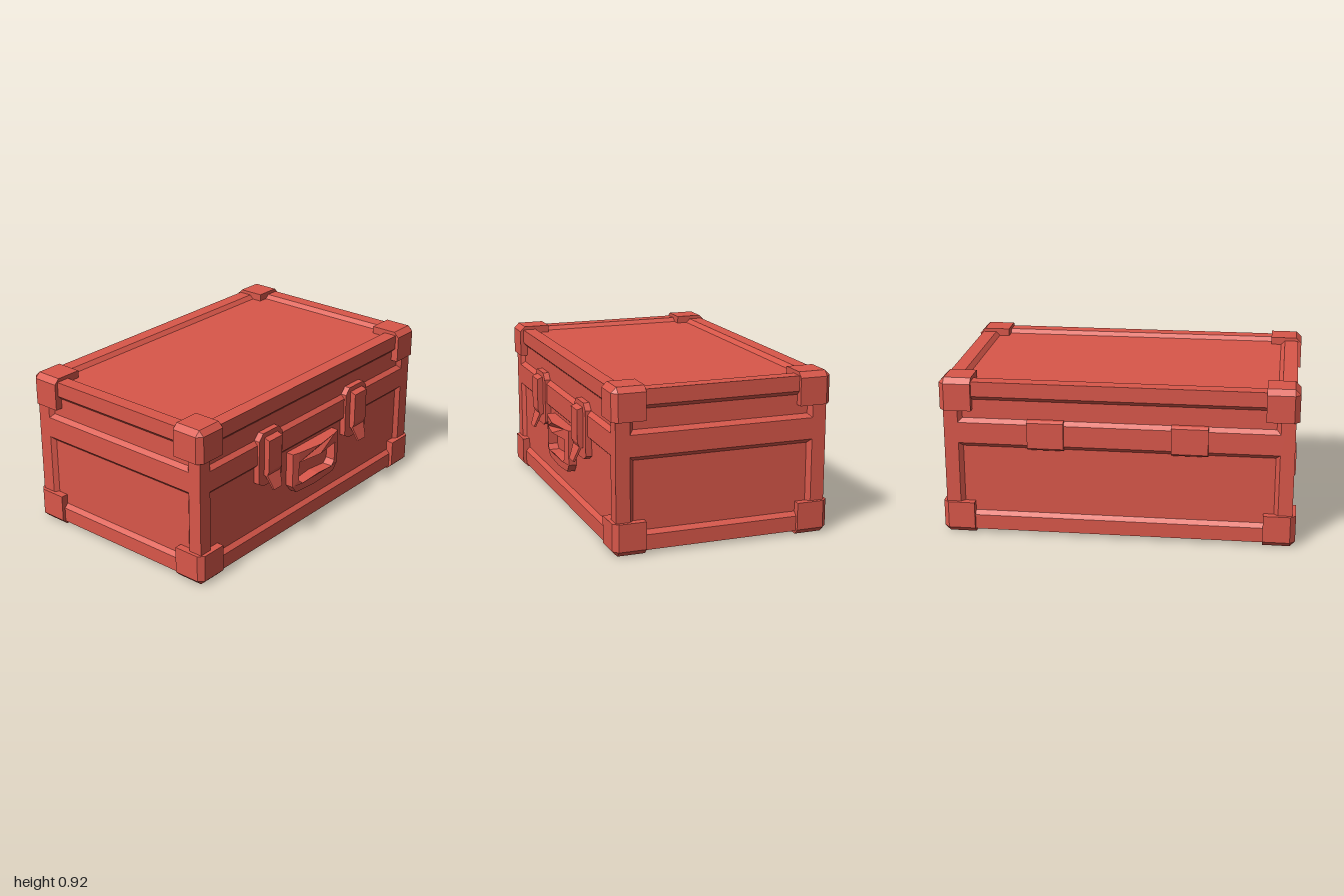
import * as THREE from 'three';
import { ConvexGeometry } from 'three/addons/geometries/ConvexGeometry.js';

const red = new THREE.MeshStandardMaterial({ color: 0xd9574a });
red.name = 'case red';

const BEVEL = 0.023;
const HALF = { x: 0.98, y: 0.44, z: 0.6075 }; // half size of the body
const CENTRE = { y: 0.465, z: -0.0225 };

function mesh(name, geometry) {
  const m = new THREE.Mesh(geometry, red);
  m.name = name;
  return m;
}

function shapeOf(points) {
  return new THREE.Shape(points.map(([x, y]) => new THREE.Vector2(x, y)));
}

// Flat wall facing +z with bevelled, sunken panels given as [x0, x1, y0, y1]
function wall(name, hw, hh, panels) {
  const pos = [];
  const rect = (x0, x1, y0, y1) => [[x0, y0], [x1, y0], [x1, y1], [x0, y1]];
  const quad = (a, b, c, d) => pos.push(...a, ...b, ...c, ...a, ...c, ...d);
  const group = new THREE.Group();
  group.name = name;
  const frame = shapeOf(rect(-hw, hw, -hh, hh));
  for (const [x0, x1, y0, y1] of panels) {
    const rim = rect(x0, x1, y0, y1);
    frame.holes.push(new THREE.Path(rim.map(([x, y]) => new THREE.Vector2(x, y))));
    const outer = rim.map(([x, y]) => [x, y, 0]);
    const inner = rect(x0 + BEVEL, x1 - BEVEL, y0 + BEVEL, y1 - BEVEL).map(([x, y]) => [x, y, -BEVEL]);
    for (let i = 0; i < 4; i++) {
      const j = (i + 1) % 4;
      quad(outer[i], outer[j], inner[j], inner[i]);
    }
    quad(...inner);
  }
  const sunken = new THREE.BufferGeometry();
  sunken.setAttribute('position', new THREE.Float32BufferAttribute(pos, 3));
  sunken.computeVertexNormals();
  group.add(mesh(name + 'Frame', new THREE.ShapeGeometry(frame)), mesh(name + 'Panels', sunken));
  return group;
}

// Corner guard: block with its three outer edges chamfered
function cornerGuard(sx, sy, sz) {
  const c = 0.03;
  const size = [0.182, 0.185, 0.185];
  const outer = [1, 0.46, 0.6275];
  const sign = [sx, sy, sz];
  const pts = [];
  // per axis: 0 = inner side, 1 = chamfer line, 2 = outer side
  for (const k of ['000', '200', '020', '002', '210', '120', '201', '102', '021', '012', '211', '121', '112']) {
    const p = [...k].map((d, i) => sign[i] * (outer[i] - [size[i], c, 0][+d]));
    pts.push(new THREE.Vector3(p[0], p[1] + CENTRE.y - 0, p[2] + CENTRE.z));
  }
  return mesh('cornerGuard', new ConvexGeometry(pts));
}

// Profile of [z, y] points drawn out along x, centred on x = 0
function alongX(points, width) {
  const g = new THREE.ExtrudeGeometry(shapeOf(points), { depth: width, bevelEnabled: false });
  g.translate(0, 0, -width / 2);
  g.rotateY(-Math.PI / 2);
  return g;
}

function latch() {
  const group = new THREE.Group();
  group.name = 'latch';
  const plate = new THREE.ExtrudeGeometry(
    shapeOf([[-0.06, 0.405], [0.06, 0.405], [0.102, 0.43], [0.102, 0.69], [0.068, 0.728], [-0.068, 0.728], [-0.102, 0.69], [-0.102, 0.43]]),
    { depth: 0.036, bevelEnabled: false });
  plate.translate(0, 0, 0.561);
  group.add(mesh('latchPlate', plate));

  // lever with a flared tail that narrows towards its tip
  const lever = alongX([[0.59, 0.47], [0.607, 0.47], [0.641, 0.385], [0.652, 0.39], [0.62, 0.475], [0.631, 0.5],
    [0.631, 0.688], [0.597, 0.7], [0.59, 0.7]], 0.114);
  const p = lever.attributes.position;
  for (let i = 0; i < p.count; i++) if (p.getY(i) < 0.4) p.setX(i, p.getX(i) * 0.62);
  lever.computeVertexNormals();
  group.add(mesh('latchLever', lever));
  return group;
}

// Handle: framed opening whose front bows out at the middle and slopes back at the foot
function handle() {
  const shape = shapeOf([[-0.215, 0.505], [-0.215, 0.3], [-0.178, 0.253], [0, 0.24], [0.178, 0.253],
    [0.215, 0.3], [0.215, 0.505], [0.17, 0.505], [0, 0.505], [-0.17, 0.505]]);
  shape.holes.push(new THREE.Path([[-0.17, 0.444], [0, 0.444], [0.17, 0.444], [0.17, 0.33], [0.14, 0.302],
    [0, 0.316], [-0.14, 0.302], [-0.17, 0.33]].map(([x, y]) => new THREE.Vector2(x, y))));
  const g = new THREE.ExtrudeGeometry(shape, { depth: 1, bevelEnabled: false });
  const p = g.attributes.position;
  for (let i = 0; i < p.count; i++) {
    const x = Math.abs(p.getX(i)), y = p.getY(i);
    let z = x < 0.17 ? 0.645 - 0.15 * x : 0.62 - 0.25 * (x - 0.17);
    if (y < 0.32) z = Math.min(z, 0.631);
    if (y < 0.27) z = 0.607;
    p.setZ(i, p.getZ(i) > 0.5 ? z : 0.56);
  }
  g.computeVertexNormals();
  return mesh('handle', g);
}

export function createModel() {
  const model = new THREE.Group();
  model.name = 'travelCase';

  // body: four walls with a base panel and a lid panel, plus top and bottom
  const body = new THREE.Group();
  body.name = 'body';
  body.position.set(0, CENTRE.y, CENTRE.z);
  const px = 0.9, pz = 0.5275;
  const sidePanels = (h) => [[-h, h, -0.355, 0.08], [-h, h, 0.2, 0.355]];
  for (const [name, s, angle] of [['front', 1, 0], ['back', -1, Math.PI]]) {
    const w = wall(name + 'Wall', HALF.x, HALF.y, sidePanels(px));
    w.rotation.y = angle;
    w.position.z = s * HALF.z;
    body.add(w);
  }
  for (const [name, s] of [['left', 1], ['right', -1]]) {
    const w = wall(name + 'Wall', HALF.z, HALF.y, sidePanels(pz));
    w.rotation.y = s * Math.PI / 2;
    w.position.x = s * HALF.x;
    body.add(w);
  }
  for (const [name, s] of [['lidTop', 1], ['base', -1]]) {
    const w = wall(name, HALF.x, HALF.z, [[-px, px, -pz, pz]]);
    w.rotation.x = -s * Math.PI / 2;
    w.position.y = s * HALF.y;
    body.add(w);
  }
  model.add(body);

  // eight corner guards
  for (const sx of [-1, 1]) for (const sy of [-1, 1]) for (const sz of [-1, 1]) model.add(cornerGuard(sx, sy, sz));

  // latches on the front, hinges on the back
  for (const s of [-1, 1]) {
    const l = latch();
    l.position.x = s * 0.403;
    const hinge = mesh('hinge', alongX([[-0.605, 0.521], [-0.605, 0.692], [-0.632, 0.692], [-0.647, 0.682],
      [-0.647, 0.534], [-0.632, 0.521]], 0.205));
    hinge.position.x = s * 0.403;
    model.add(l, hinge);
  }

  model.add(handle());
  return model;
}
